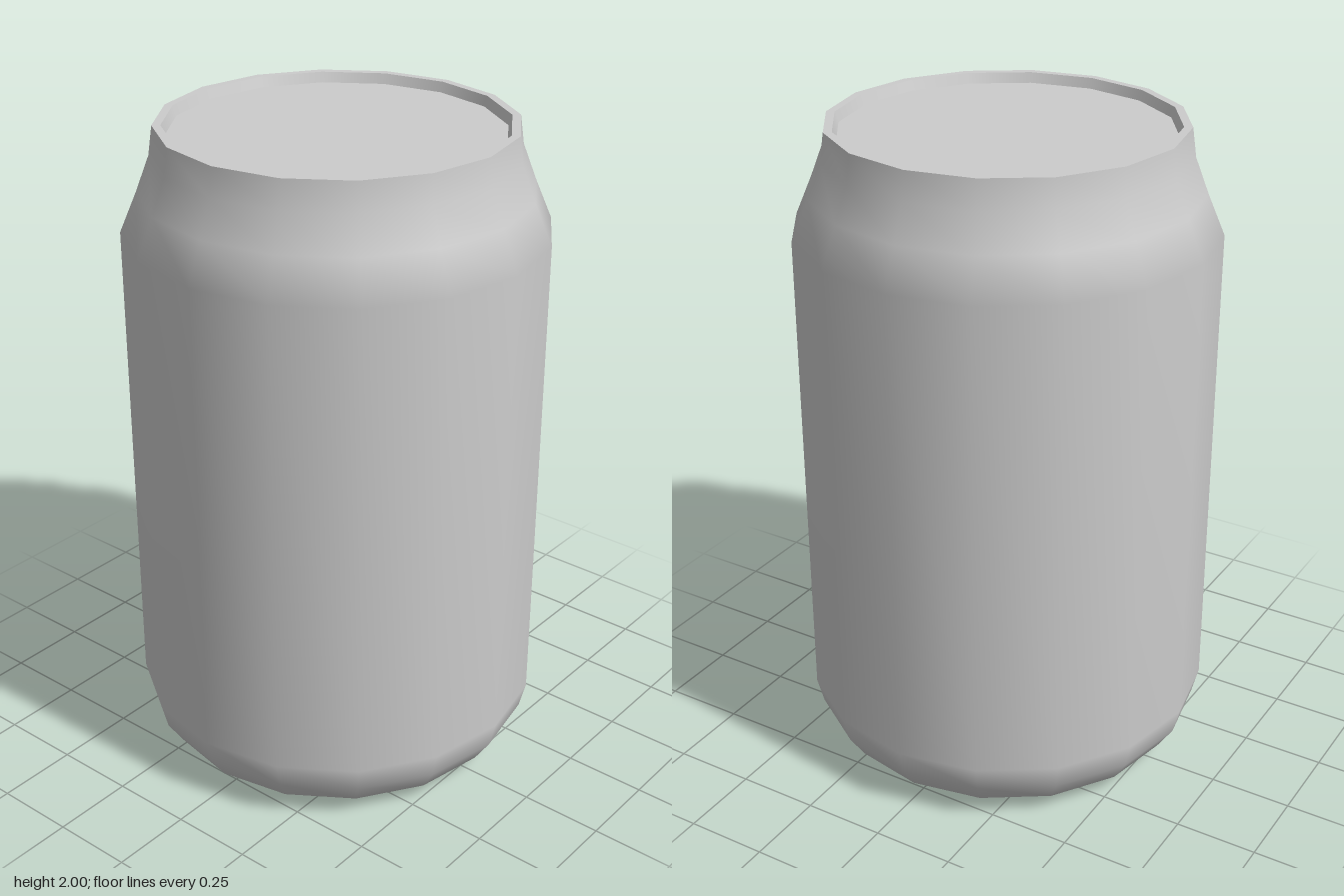
import * as THREE from 'three';

const SIDES = 16;

export function createModel() {
  const model = new THREE.Group();
  model.name = 'can';
  const material = new THREE.MeshStandardMaterial({ color: 0xcccccc });

  // Each part is one smooth turned surface; part borders stay sharp.
  const turned = (name, profile) => {
    const points = profile.map(([r, y]) => new THREE.Vector2(r, y));
    const mesh = new THREE.Mesh(new THREE.LatheGeometry(points, SIDES), material);
    mesh.name = name;
    model.add(mesh);
  };

  // Recessed underside and its wall
  turned('bottomPanel', [[0, 0.05], [0.46, 0.05]]);
  turned('bottomRecessWall', [[0.46, 0.05], [0.478, 0]]);

  // Rounded base, straight side, tapered shoulder and neck
  turned('body', [
    [0.478, 0], [0.553, 0.055], [0.603, 0.13], [0.623, 0.21],
    [0.623, 1.69], [0.572, 1.81], [0.532, 1.915], [0.52, 2],
  ]);

  // Flat rim with a shallow sunken lid
  turned('rim', [[0.52, 2], [0.495, 2]]);
  turned('lidRecessWall', [[0.495, 2], [0.485, 1.97]]);
  turned('lid', [[0.485, 1.97], [0, 1.97]]);

  return model;
}
